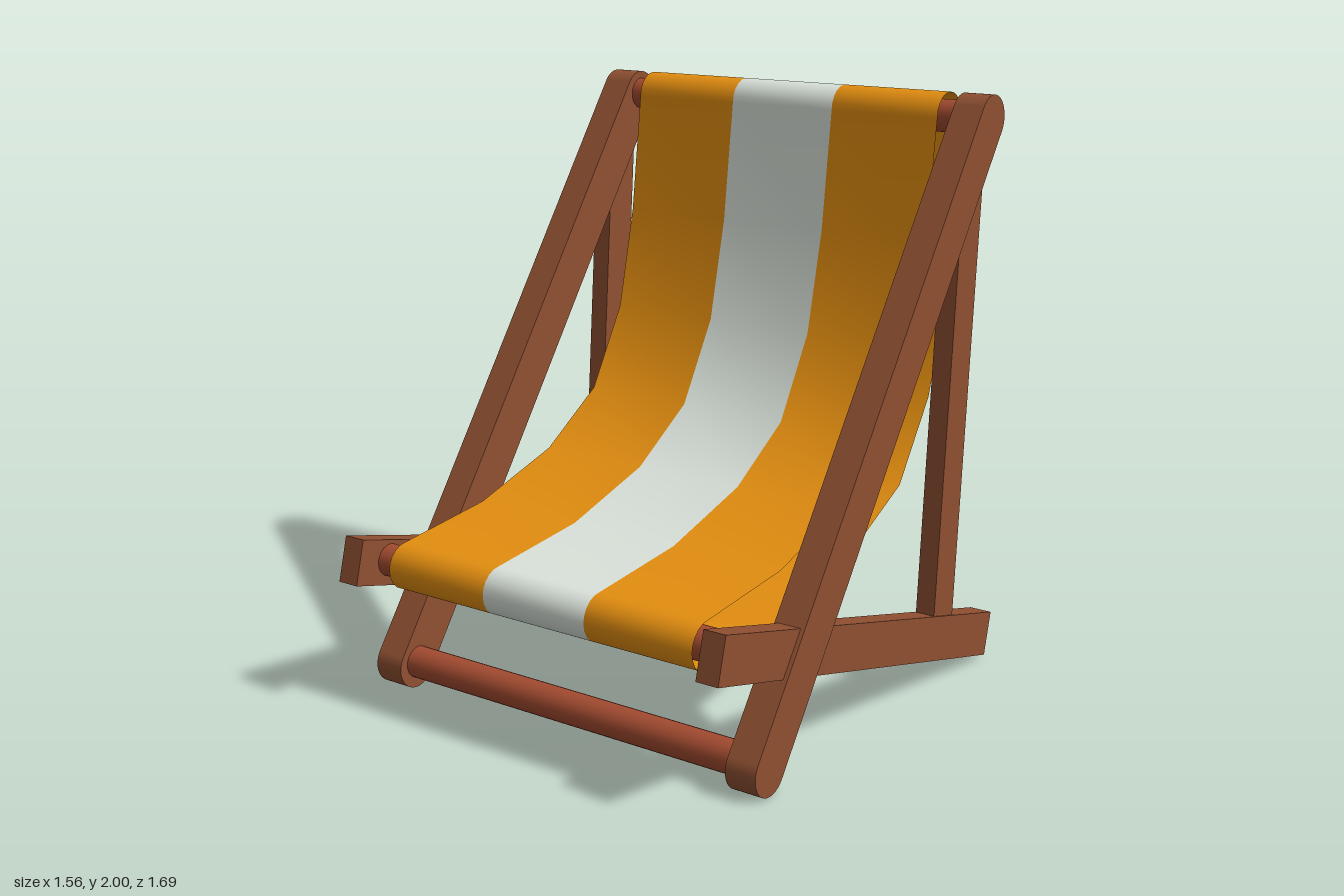
import * as THREE from 'three';

const mat = (name, color, side = THREE.FrontSide) => {
  const m = new THREE.MeshStandardMaterial({ color, side });
  m.name = name;
  return m;
};

export function createModel() {
  const wood = mat('brown wood', 0x8f5032);
  const dowel = mat('red wood', 0xa34b30);
  const orange = mat('orange canvas', 0xe58f10, THREE.DoubleSide);
  const white = mat('white canvas', 0xdce4dc, THREE.DoubleSide);

  const group = new THREE.Group();
  group.name = 'deckChair';
  const add = (name, geometry, material) => {
    const mesh = new THREE.Mesh(geometry, material);
    mesh.name = name;
    group.add(mesh);
    return mesh;
  };

  // Square beam between two [z, y] points in the side plane
  const beam = (name, x, a, b, width, thickness) => {
    const dz = b[0] - a[0], dy = b[1] - a[1];
    const mesh = add(name, new THREE.BoxGeometry(width, Math.hypot(dz, dy), thickness), wood);
    mesh.position.set(x, (a[1] + b[1]) / 2, (a[0] + b[0]) / 2);
    mesh.rotation.x = Math.atan2(dz, dy);
  };

  // Long rail with rounded ends, drawn in the side plane and extruded across x
  const railGeometry = () => {
    const [z0, y0, z1, y1, r] = [0.592, 0.078, -0.685, 1.92, 0.08];
    const angle = Math.atan2(y1 - y0, z1 - z0);
    const shape = new THREE.Shape();
    shape.absarc(z1, y1, r, angle - Math.PI / 2, angle + Math.PI / 2, false);
    shape.absarc(z0, y0, r, angle + Math.PI / 2, angle + Math.PI * 1.5, false);
    const g = new THREE.ExtrudeGeometry(shape, { depth: 0.11, bevelEnabled: false, curveSegments: 16 });
    return g.translate(0, 0, -0.055).rotateY(-Math.PI / 2);
  };

  // Side frames
  for (const [side, s] of [['left', 1], ['right', -1]]) {
    add(side + 'LongRail', railGeometry(), wood).position.x = s * 0.726;
    beam(side + 'BaseRail', s * 0.726, [0.827, 0.506], [-0.823, 0.08], 0.08, 0.155);
    beam(side + 'BackStrut', s * 0.726, [-0.495, 0.2], [-0.607, 1.79], 0.07, 0.13);
  }

  // Round cross bars
  const bar = (name, z, y, length) => {
    const g = new THREE.CylinderGeometry(0.055, 0.055, length, 24).rotateZ(Math.PI / 2);
    add(name, g, dowel).position.set(0, y, z);
  };
  bar('topBar', -0.688, 1.92, 1.42);
  bar('frontBar', 0.688, 0.48, 1.53);
  bar('footBar', 0.585, 0.087, 1.42);

  // Canvas loop in [z, y]: over the top bar, down the back, round the front bar, up the seat
  const loop = [];
  const arc = (z, y, from, to, n = 10) => {
    for (let i = 0; i <= n; i++) {
      const t = from + (to - from) * i / n;
      loop.push([z + 0.08 * Math.cos(t), y + 0.08 * Math.sin(t)]);
    }
  };
  arc(-0.69, 1.92, 0, Math.PI);
  loop.push([-0.74, 1.6], [-0.7, 1.25], [-0.61, 0.97], [-0.43, 0.7], [-0.12, 0.54], [0.3, 0.44]);
  arc(0.685, 0.475, -Math.PI / 2, Math.PI / 2);
  loop.push([0.3, 0.6], [-0.06, 0.71], [-0.32, 0.88], [-0.48, 1.16], [-0.56, 1.51]);

  const strip = (x0, x1) => {
    const positions = [], index = [], n = loop.length;
    loop.forEach(([z, y], i) => {
      positions.push(x0, y, z, x1, y, z);
      const a = 2 * i, c = 2 * ((i + 1) % n);
      index.push(a, a + 1, c, a + 1, c + 1, c);
    });
    const g = new THREE.BufferGeometry();
    g.setAttribute('position', new THREE.Float32BufferAttribute(positions, 3));
    g.setIndex(index);
    g.computeVertexNormals();
    return g;
  };
  add('rightCanvasStripe', strip(-0.615, -0.205), orange);
  add('middleCanvasStripe', strip(-0.205, 0.205), white);
  add('leftCanvasStripe', strip(0.205, 0.615), orange);

  return group;
}
